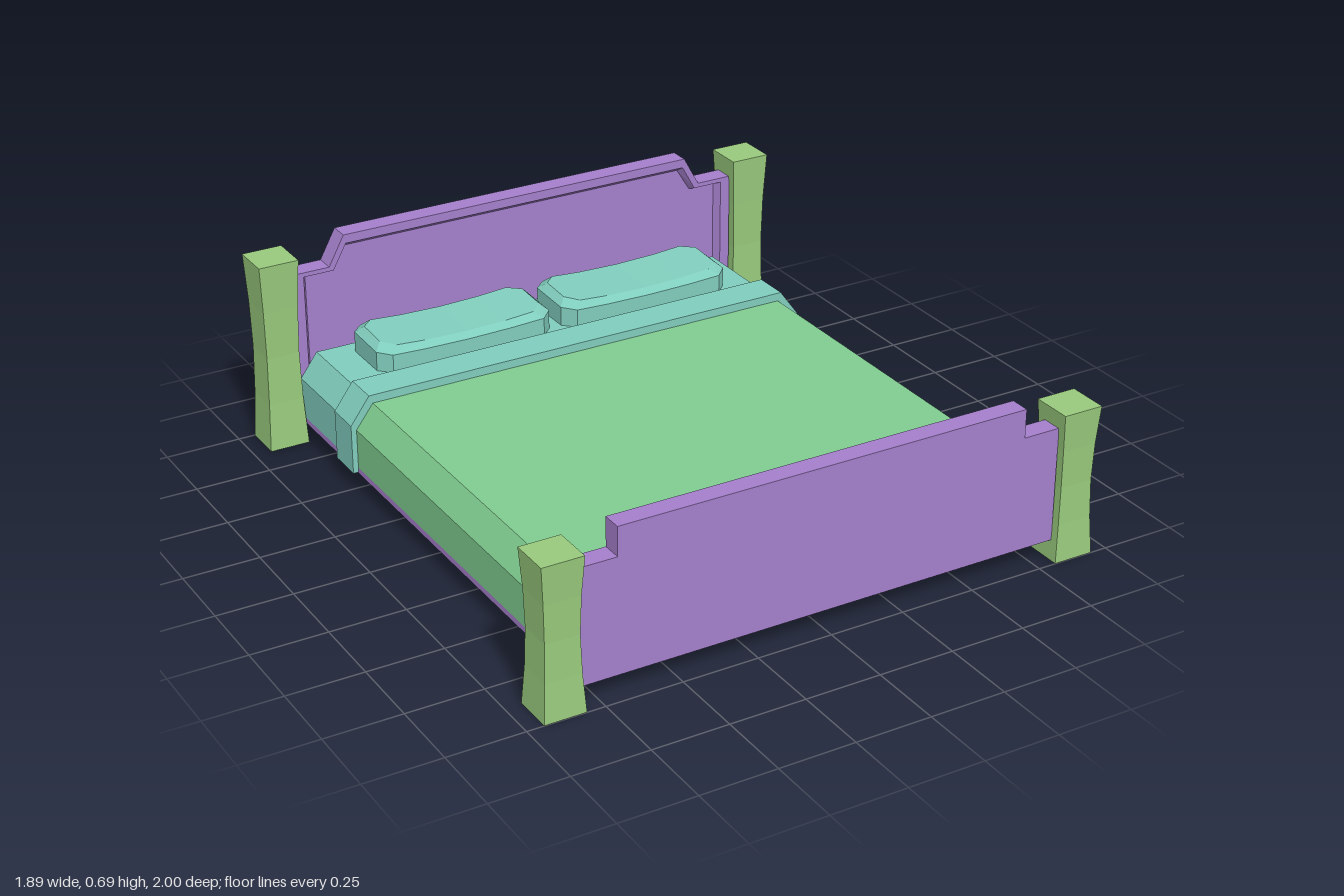
import * as THREE from 'three';

const mat = (color) => new THREE.MeshStandardMaterial({ color, flatShading: true });
const PURPLE = mat(0xa47fcb), GREEN = mat(0x80cc90), TEAL = mat(0x80cdbd), POST = mat(0x98c97c);

// Mirrors right-hand points (listed bottom to top) into a closed outline
const mirrored = (pts) => [...pts, ...pts.map(([x, y]) => [-x, y]).reverse()];
const toVectors = (pts) => pts.map(([x, y]) => new THREE.Vector2(x, y));

function slab(name, outline, z0, z1, material, hole) {
  const shape = new THREE.Shape(toVectors(outline));
  if (hole) shape.holes.push(new THREE.Path(toVectors(hole)));
  const geo = new THREE.ExtrudeGeometry(shape, { depth: z1 - z0, bevelEnabled: false });
  geo.translate(0, 0, z0);
  const mesh = new THREE.Mesh(geo, material);
  mesh.name = name;
  return mesh;
}

// Joins equal-length rings of [x, y, z] points, optionally capping both ends
function loft(name, rings, material, capped) {
  const n = rings[0].length, idx = [];
  for (let r = 0; r < rings.length - 1; r++) {
    for (let i = 0; i < n; i++) {
      const a = r * n + i, b = r * n + (i + 1) % n;
      idx.push(a, b, b + n, a, b + n, a + n);
    }
  }
  if (capped) {
    const t = (rings.length - 1) * n;
    // strips pair opposite points so that a curved cap keeps its shape
    for (let i = 0; i < n / 2 - 1; i++) {
      const a = i, b = i + 1, c = n - 2 - i, d = n - 1 - i;
      idx.push(a, c, b, a, d, c);
      idx.push(t + a, t + b, t + c, t + a, t + c, t + d);
    }
  }
  const geo = new THREE.BufferGeometry();
  geo.setAttribute('position', new THREE.Float32BufferAttribute(rings.flat(2), 3));
  geo.setIndex(idx);
  geo.computeVertexNormals();
  const mesh = new THREE.Mesh(geo, material);
  mesh.name = name;
  return mesh;
}

// Square post with a narrowed waist
function post(name, x, z, h) {
  const geo = new THREE.BoxGeometry(0.135, h, 0.135, 1, 4, 1);
  geo.translate(0, h / 2, 0);
  const p = geo.attributes.position;
  for (let i = 0; i < p.count; i++) {
    const k = 1 - 0.17 * Math.sin(Math.PI * p.getY(i) / h);
    p.setX(i, p.getX(i) * k);
    p.setZ(i, p.getZ(i) * k);
  }
  geo.computeVertexNormals();
  const mesh = new THREE.Mesh(geo, POST);
  mesh.name = name;
  mesh.position.set(x, 0, z);
  return mesh;
}

// Pillow with clipped corners and a gently sagging top
function pillow(name, cx) {
  const ring = (y, inset, sag, tilt) => {
    const w = 0.313 - inset, d = 0.122 - inset, c = 0.04;
    const xs = [-w, -w + c, -w / 2, 0, w / 2, w - c, w];
    const front = xs.map((x) => [x, Math.abs(x) === w ? d - c : d]);
    const back = front.map(([x, z]) => [x, -z]).reverse();
    return [...front, ...back].map(([x, z]) =>
      [cx + x, y - sag * (1 - (x / w) ** 2) - tilt * z, z - 0.76]);
  };
  return loft(name, [ring(0.28, 0, 0, 0), ring(0.365, 0, 0.01, 0.03), ring(0.388, 0.025, 0.015, 0.05)], TEAL, true);
}

export function createModel() {
  const bed = new THREE.Group();
  bed.name = 'bed';

  // Corner posts
  for (const s of [1, -1]) {
    const side = s > 0 ? 'left' : 'right';
    bed.add(post(side + 'FrontPost', s * 0.877, 0.932, 0.5));
    bed.add(post(side + 'BackPost', s * 0.877, -0.932, 0.65));
  }

  // Headboard: back plate, raised rim and the bevel around the recessed panel
  const head = mirrored([[0.815, 0.065], [0.815, 0.585], [0.69, 0.585], [0.635, 0.685]]);
  const outer = mirrored([[0.78, 0.1], [0.78, 0.57], [0.675, 0.57], [0.628, 0.655]]);
  const inner = mirrored([[0.765, 0.11], [0.765, 0.56], [0.668, 0.56], [0.62, 0.638]]);
  const headboard = new THREE.Group();
  headboard.name = 'headboard';
  headboard.add(slab('headboardPanel', head, -0.968, -0.925, PURPLE));
  headboard.add(slab('headboardRim', head, -0.925, -0.9, PURPLE, outer));
  const at = (pts, z) => pts.map(([x, y]) => [x, y, z]);
  headboard.add(loft('recessBevel', [at(outer, -0.9), at(inner, -0.925)], PURPLE, false));
  bed.add(headboard);

  // Footboard with stepped shoulders
  const foot = mirrored([[0.815, 0.065], [0.815, 0.445], [0.69, 0.445], [0.69, 0.54]]);
  bed.add(slab('footboard', foot, 0.9, 0.966, PURPLE));

  // Base under the mattress
  const base = new THREE.Mesh(new THREE.BoxGeometry(1.62, 0.02, 1.81), PURPLE);
  base.name = 'base';
  base.position.y = 0.074;
  bed.add(base);

  // Blanket, sheet and the folded band between them
  const mattress = mirrored([[0.81, 0.068], [0.81, 0.217], [0.75, 0.297]]);
  bed.add(slab('blanket', mattress, -0.5, 0.902, GREEN));
  bed.add(slab('sheet', mattress, -0.902, -0.5, TEAL));
  const fold = mirrored([[0.828, 0.068], [0.828, 0.235], [0.762, 0.325]]);
  bed.add(slab('foldedSheet', fold, -0.6, -0.478, TEAL));

  // Pillows
  bed.add(pillow('rightPillow', -0.327), pillow('leftPillow', 0.343));

  return bed;
}
